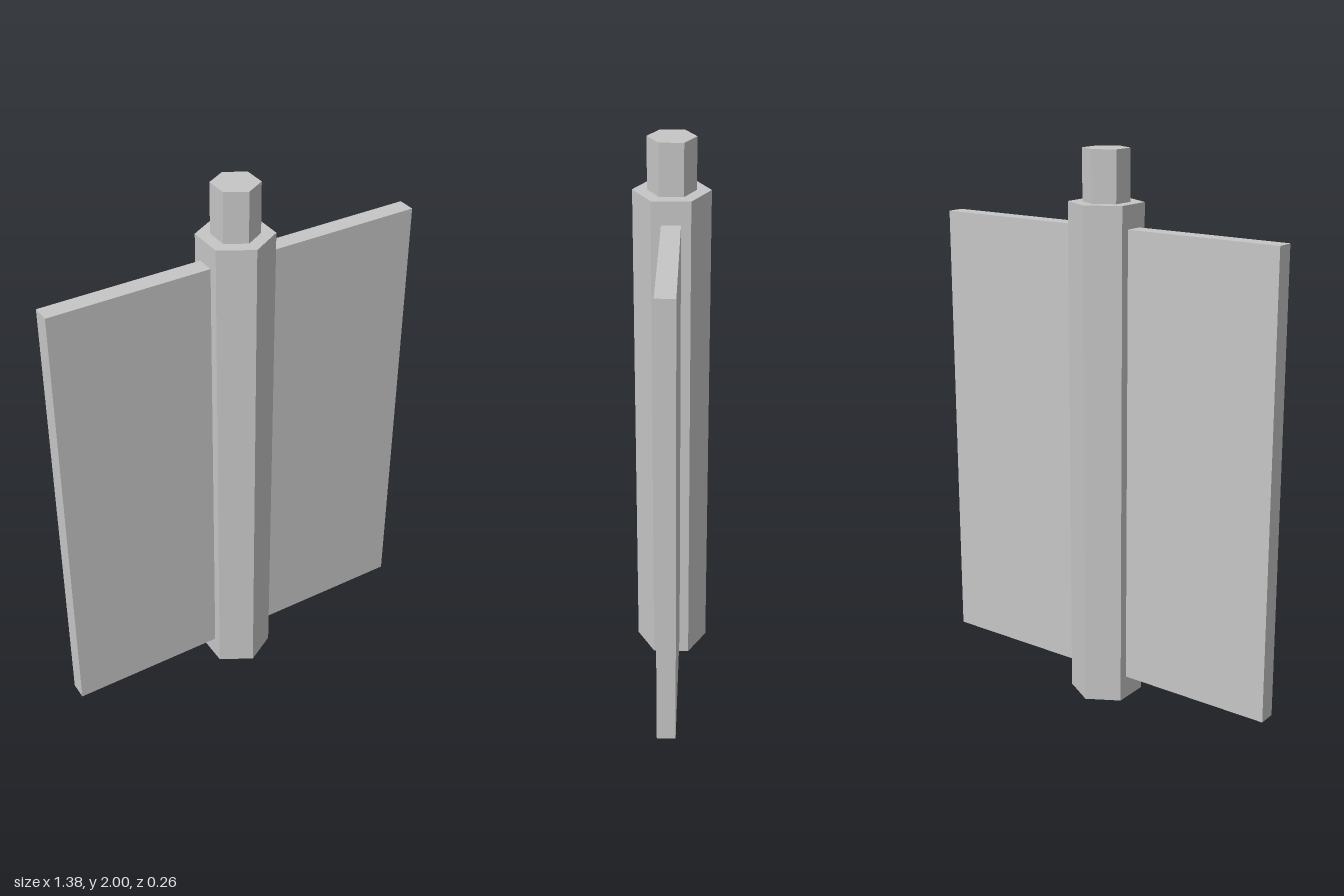
import * as THREE from 'three';

export function createModel() {
  const model = new THREE.Group();
  const grey = new THREE.MeshStandardMaterial({ color: 0xc6c6c6 });
  grey.name = 'light grey';
  grey.flatShading = true;

  const add = (name, geometry, x, y) => {
    const mesh = new THREE.Mesh(geometry, grey);
    mesh.name = name;
    mesh.position.set(x, y, 0);
    model.add(mesh);
  };

  // Hexagonal prism standing between two heights, corners facing front and back
  const hexPrism = (name, radius, bottom, top) =>
    add(name, new THREE.CylinderGeometry(radius, radius, top - bottom, 6), 0, (bottom + top) / 2);

  hexPrism('shaft', 0.131, 0, 1.82);
  hexPrism('topPin', 0.082, 1.82, 2);

  // Flat panels on both sides, set slightly into the shaft
  const inner = 0.1, outer = 0.692, bottom = 0.085, top = 1.738;
  for (const [name, side] of [['leftPanel', 1], ['rightPanel', -1]]) {
    add(name, new THREE.BoxGeometry(outer - inner, top - bottom, 0.065),
      side * (inner + outer) / 2, (bottom + top) / 2);
  }
  return model;
}
